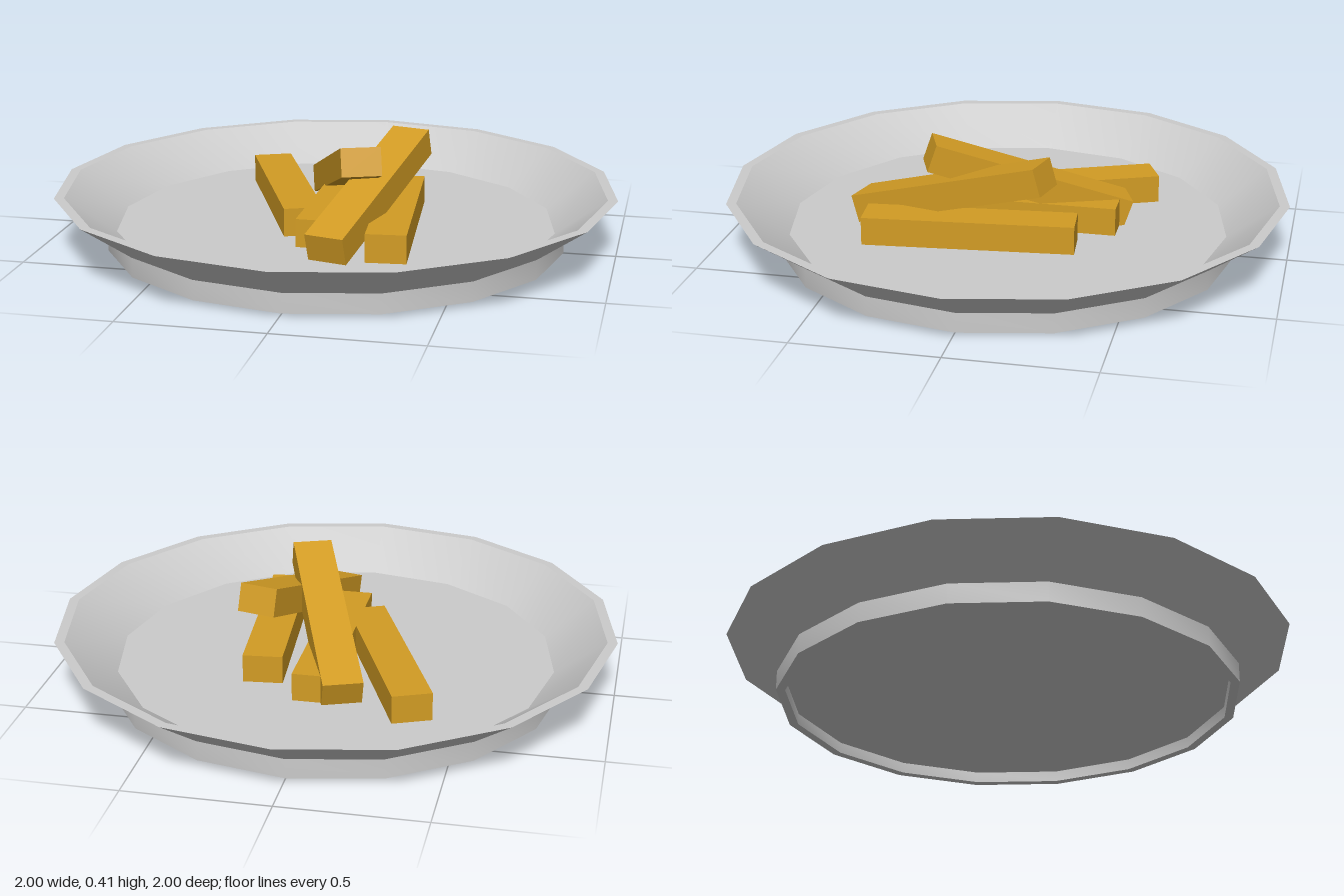
import * as THREE from 'three';
import { toCreasedNormals } from 'three/addons/utils/BufferGeometryUtils.js';

const FLOOR = 0.07; // height of the plate's inner floor
const FRY = { width: 0.14, height: 0.1 };

// Sixteen-sided dish with a raised foot ring, turned from one closed profile
function makePlate() {
  const profile = [
    [0, 0.04], [0.785, 0.04], [0.785, 0], [0.817, 0], [0.817, 0.07],
    [1, 0.2], [0.965, 0.2], [0.785, FLOOR], [0, FLOOR],
  ].map(([r, y]) => new THREE.Vector2(r, y));
  const geometry = toCreasedNormals(new THREE.LatheGeometry(profile, 16), 0.5);
  const plate = new THREE.Mesh(geometry, new THREE.MeshStandardMaterial({ color: 0xcccccc }));
  plate.name = 'plate';
  return plate;
}

// One fry: a bar whose top centre line runs between two points
function makeFry(name, from, to, material) {
  const start = new THREE.Vector3(...from);
  const end = new THREE.Vector3(...to);
  const geometry = new THREE.BoxGeometry(FRY.width, FRY.height, start.distanceTo(end));
  geometry.translate(0, -FRY.height / 2, 0);
  const fry = new THREE.Mesh(geometry, material);
  fry.position.lerpVectors(start, end, 0.5);
  fry.lookAt(end);
  fry.name = name;
  return fry;
}

export function createModel() {
  const model = new THREE.Group();
  model.name = 'plateOfFries';
  model.add(makePlate());

  const golden = new THREE.MeshStandardMaterial({ color: 0xd29c24 });
  const top = FLOOR + FRY.height;
  const fries = new THREE.Group();
  fries.name = 'fries';
  const layout = [
    // three lying flat
    ['rightFry', [-0.355, top, -0.479], [-0.07, top, 0.21]],
    ['middleFry', [0.003, top, -0.4], [0.003, top, 0.345]],
    ['leftFry', [0.203, top, -0.283], [0.267, top, 0.457]],
    // two leaning on top
    ['upperFryRisingForward', [-0.11, 0.158, -0.422], [0.136, 0.405, 0.235]],
    ['upperFryRisingBack', [0.07, 0.17, 0.527], [0.24, 0.383, -0.166]],
  ];
  for (const [name, from, to] of layout) fries.add(makeFry(name, from, to, golden));
  model.add(fries);
  return model;
}
